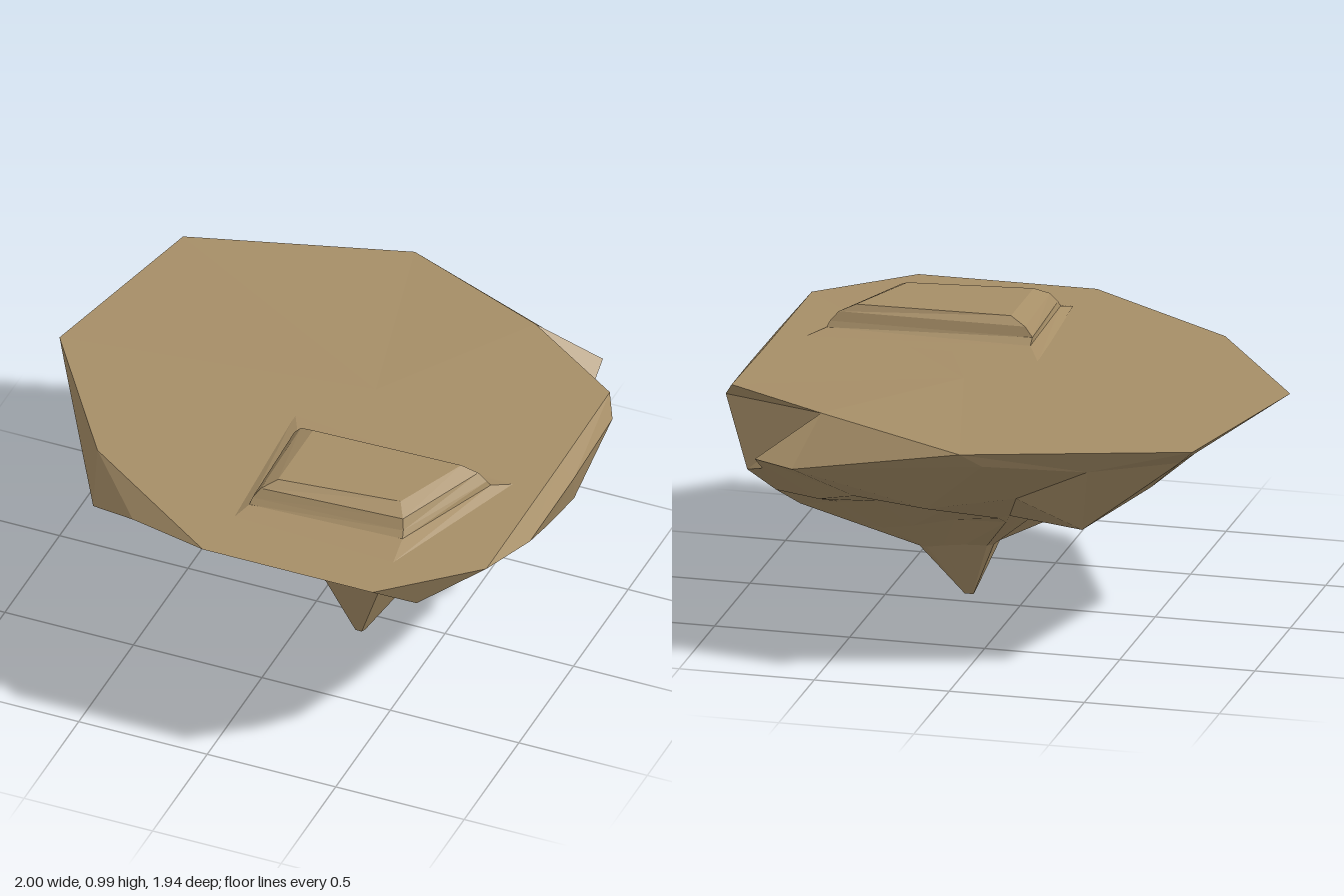
import * as THREE from 'three';

// Skin a stack of closed rings (listed top to bottom, clockwise from above), capping both ends.
function loft(rings) {
  const pos = [];
  const tri = (a, b, c) => {
    const n = new THREE.Vector3().subVectors(b, a).cross(new THREE.Vector3().subVectors(c, a));
    if (n.length() > 1e-7) pos.push(...a, ...b, ...c);
  };
  const loops = rings.map(r => r.map(p => new THREE.Vector3(...p)));
  const centre = loop => loop.reduce((s, p) => s.add(p), new THREE.Vector3()).divideScalar(loop.length);
  const count = loops[0].length;
  const first = loops[0], last = loops[loops.length - 1];
  const top = centre(first), bottom = centre(last);
  for (let i = 0; i < count; i++) {
    const j = (i + 1) % count;
    tri(top, first[j], first[i]);
    for (let k = 0; k < loops.length - 1; k++) {
      tri(loops[k][i], loops[k][j], loops[k + 1][j]);
      tri(loops[k][i], loops[k + 1][j], loops[k + 1][i]);
    }
    tri(bottom, last[i], last[j]);
  }
  const g = new THREE.BufferGeometry();
  g.setAttribute('position', new THREE.Float32BufferAttribute(pos, 3));
  g.computeVertexNormals();
  return g;
}

// Cross-sections of the rock, starting at the -x side and running round the back.
// Repeated rim corners let several facets fan out from one point.
const back = [-0.03, 0.885, -0.97], notch = [0.55, 0.91, -0.71], front = [-0.61, 0.885, 0.57];
const rim = [
  [-1, 0.885, 0], [-0.83, 0.885, -0.73], back, back, notch, notch, notch, notch,
  [0.95, 0.9, -0.45], [0.95, 0.89, 0], [0.95, 0.885, 0.68],
  [0.63, 0.885, 0.97], [-0.03, 0.885, 0.97], front, front,
];
const skirt = [
  [-0.92, 0.85, 0.13], [-0.76, 0.81, -0.64], [-0.45, 0.79, -0.77], [-0.1, 0.83, -0.92],
  [0.62, 0.74, -0.86], [0.77, 0.75, -0.81], [0.77, 0.68, -0.7], [0.85, 0.64, -0.61],
  [0.99, 0.84, -0.38], [1, 0.835, 0], [1, 0.83, 0.4],
  [0.73, 0.75, 0.8], [0.15, 0.78, 0.81], [-0.37, 0.81, 0.81], [-0.58, 0.72, 0.68],
];
const belly = [
  [-0.66, 0.68, 0.1], [-0.6, 0.64, -0.44], [-0.4, 0.53, -0.65], [-0.15, 0.62, -0.63],
  [0.18, 0.56, -0.65], [0.45, 0.58, -0.63], [0.6, 0.53, -0.55], [0.79, 0.51, -0.43],
  [0.86, 0.63, -0.31], [0.96, 0.67, -0.1], [0.97, 0.73, 0.15],
  [0.52, 0.62, 0.58], [0.38, 0.62, 0.58], [0.1, 0.585, 0.4], [-0.39, 0.6, 0.49],
];
const waist = [
  [-0.25, 0.49, 0.12], [-0.2, 0.47, -0.08], [-0.12, 0.46, -0.25], [-0.04, 0.44, -0.3],
  [0, 0.43, -0.31], [0.2, 0.44, -0.28], [0.44, 0.47, -0.35], [0.6, 0.44, -0.3],
  [0.75, 0.4, -0.24], [0.69, 0.44, -0.06], [0.61, 0.49, 0.14],
  [0.54, 0.54, 0.33], [0.3, 0.52, 0.32], [0.03, 0.5, 0.31], [-0.2, 0.48, 0.3],
];
const stem = [
  [-0.13, 0.32, 0.12], [-0.13, 0.33, 0.07], [-0.12, 0.4, 0.01], [-0.05, 0.4, -0.14],
  [0, 0.38, -0.2], [0.2, 0.36, -0.16], [0.36, 0.32, -0.15], [0.48, 0.29, -0.11],
  [0.55, 0.295, -0.12], [0.52, 0.32, -0.01], [0.48, 0.35, 0.11],
  [0.42, 0.39, 0.24], [0.25, 0.37, 0.24], [0.08, 0.36, 0.23], [-0.05, 0.35, 0.22],
];
const neck = [
  [0.1, 0.22, 0.1], [0.1, 0.22, 0.07], [0.1, 0.22, 0.04], [0.1, 0.22, 0.01],
  [0.12, 0.22, -0.01], [0.2, 0.22, -0.02], [0.28, 0.21, -0.02], [0.34, 0.2, -0.02],
  [0.37, 0.2, -0.01], [0.36, 0.21, 0.03], [0.34, 0.22, 0.09],
  [0.31, 0.24, 0.16], [0.24, 0.235, 0.16], [0.17, 0.23, 0.155], [0.1, 0.22, 0.15],
];
// The neck closes on a small blunt tip.
const tip = neck.map(([x, , z]) => [0.21 + (x - 0.22) * 0.12, 0, 0.095 + (z - 0.07) * 0.12]);

// Skewed four-cornered slab with a bevelled top and a flared foot.
const at = (y, corners) => corners.map(([x, z]) => [x, y, z]);
const slabRings = [
  at(0.992, [[0.11, 0.29], [0.68, 0.275], [0.565, 0.56], [0.11, 0.61]]),
  at(0.965, [[0.05, 0.26], [0.74, 0.26], [0.6, 0.62], [0.06, 0.65]]),
  at(0.93, [[0.02, 0.25], [0.77, 0.25], [0.61, 0.64], [0.035, 0.67]]),
  at(0.908, [[0.02, 0.22], [0.78, 0.24], [0.615, 0.66], [0.03, 0.685]]),
  at(0.889, [[-0.04, 0.1], [0.84, 0.18], [0.63, 0.78], [0, 0.75]]),
];

export function createModel() {
  const group = new THREE.Group();
  const material = new THREE.MeshStandardMaterial({ color: 0xa68e67, flatShading: true });
  const add = (name, rings) => {
    const mesh = new THREE.Mesh(loft(rings), material);
    mesh.name = name;
    group.add(mesh);
  };
  add('floatingRock', [rim, skirt, belly, waist, stem, neck, tip]);
  add('stoneSlab', slabRings);
  return group;
}
